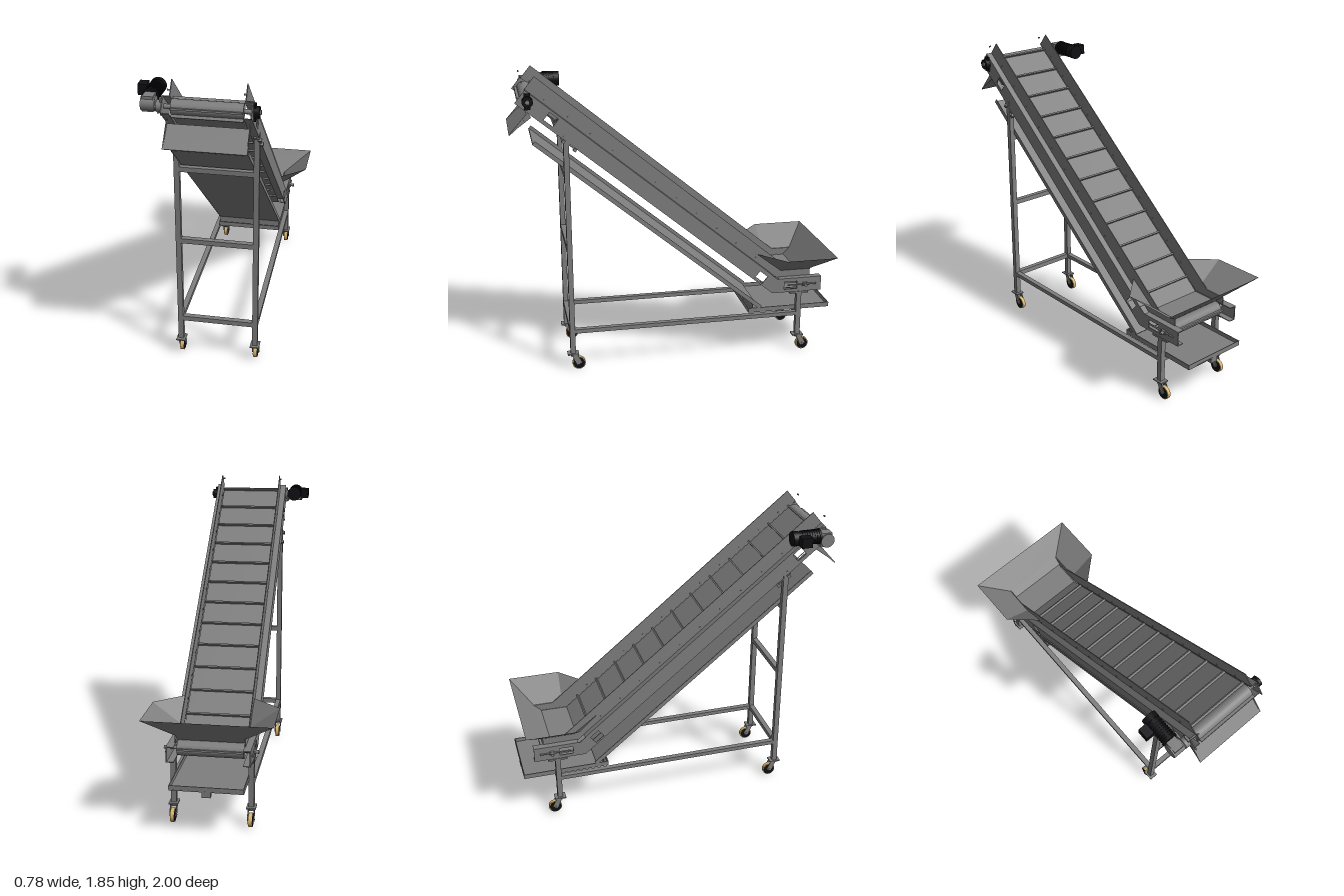
import * as THREE from 'three';

const CX = 0.0175; // centre line of the frame
const grey = new THREE.MeshStandardMaterial({ color: 0x7f7f7f });
const sheet = new THREE.MeshStandardMaterial({ color: 0x7f7f7f, side: THREE.DoubleSide });
const black = new THREE.MeshStandardMaterial({ color: 0x101014 });
const tan = new THREE.MeshStandardMaterial({ color: 0xd9b56e });

// Slope axes in (z, y): u runs up the incline, n points out of the belt
const ANG = Math.atan(0.825);
const u = [Math.cos(ANG), Math.sin(ANG)], n = [-u[1], u[0]];
const HEAD = [0.887, 1.71], TAIL = [-0.82, 0.46];
const onSlope = (s, h) => [HEAD[0] + s * u[0] + h * n[0], HEAD[1] + s * u[1] + h * n[1]];
const atHeight = (h, y) => onSlope((y - HEAD[1] - h * n[1]) / u[1], h);
const atZ = (h, z) => onSlope((z - HEAD[0] - h * n[0]) / u[0], h);

export function createModel() {
  const model = new THREE.Group();

  const add = (name, geo, mat = grey, parent = model) => {
    const m = new THREE.Mesh(geo, mat);
    m.name = name;
    parent.add(m);
    return m;
  };
  const box = (name, w, h, d, x, y, z, mat, parent) => {
    const m = add(name, new THREE.BoxGeometry(w, h, d), mat, parent);
    m.position.set(x, y, z);
    return m;
  };
  // Box whose depth runs along the incline
  const slopeBox = (name, w, h, d, x, [z, y], mat) => {
    const m = box(name, w, h, d, x, y, z, mat);
    m.rotation.x = -ANG;
    return m;
  };
  const cyl = (name, r, len, axis, x, y, z, mat, seg = 28, parent = model) => {
    const g = new THREE.CylinderGeometry(r, r, len, seg);
    if (axis === 'x') g.rotateZ(Math.PI / 2);
    if (axis === 'z') g.rotateX(Math.PI / 2);
    const m = add(name, g, mat, parent);
    m.position.set(x, y, z);
    return m;
  };
  const toPath = (pts, C = THREE.Path) => new C(pts.map(p => new THREE.Vector2(...p)));
  // Outline in (z, y), extruded across x and centred on x
  const profile = (name, pts, width, x, holes = []) => {
    const s = toPath(pts, THREE.Shape);
    s.holes = holes.map(h => toPath(h));
    const g = new THREE.ExtrudeGeometry(s, { depth: width, bevelEnabled: false });
    g.translate(0, 0, -width / 2).rotateY(-Math.PI / 2);
    add(name, g).position.x = x;
  };

  // Belt loop around the head and tail rollers
  const R = 0.04;
  const beltLoop = r => {
    const pts = [];
    for (let i = 0; i <= 14; i++) {
      const a = Math.PI / 2 - Math.PI * i / 14;
      pts.push(onSlope(r * Math.cos(a), r * Math.sin(a)));
    }
    pts.push(atHeight(-r, TAIL[1] - r));
    for (let i = 0; i <= 14; i++) {
      const a = -Math.PI / 2 - Math.PI * i / 14;
      pts.push([TAIL[0] + r * Math.cos(a), TAIL[1] + r * Math.sin(a)]);
    }
    pts.push(atHeight(r, TAIL[1] + r));
    return pts;
  };
  profile('belt', beltLoop(R + 0.003), 0.384, CX, [beltLoop(R - 0.003)]);
  for (let i = 0; i < 12; i++) {
    const z = -0.565 + i * 0.1286;
    slopeBox('beltCleat', 0.384, 0.018, 0.01, CX, atZ(R + 0.01, z));
    if (i > 0 && i < 11) slopeBox('returnCleat', 0.384, 0.012, 0.01, CX, atZ(-R - 0.006, z));
  }
  // Cleats passing round the two rollers
  for (const [c, a] of [[HEAD, 0.15], [HEAD, -0.95], [TAIL, 3.0]]) {
    const m = box('rollerCleat', 0.384, 0.01, 0.018, CX, c[1] + 0.05 * Math.sin(a), c[0] + 0.05 * Math.cos(a));
    m.rotation.x = -a;
  }
  cyl('headRoller', R - 0.004, 0.38, 'x', CX, HEAD[1], HEAD[0]);
  cyl('headShaft', 0.013, 0.56, 'x', CX, HEAD[1], HEAD[0]);
  cyl('tailRoller', R - 0.004, 0.38, 'x', CX, TAIL[1], TAIL[0]);
  cyl('tailShaft', 0.01, 0.49, 'x', CX, TAIL[1], TAIL[0]);

  // Side channels with inspection windows, and thin guards above them
  const E = 0.05, LOW = -0.052, TOP = 0.134;
  const channel = [[-0.93, 0.41], atHeight(LOW, 0.41), onSlope(E, LOW), onSlope(E, R), atHeight(R, 0.503), [-0.93, 0.503]];
  const slopeWindow = ([z, y], a = 0.033, b = 0.028) => [[-a, -b], [a, -b], [a, b], [-a, b]]
    .map(([s, h]) => [z + s * u[0] + h * n[0], y + s * u[1] + h * n[1]]);
  const windows = [
    slopeWindow([0.755, 1.6]), slopeWindow([-0.53, 0.525]),
    [[-0.77, 0.43], [-0.685, 0.43], [-0.685, 0.48], [-0.77, 0.48]],
  ];
  const guard = [[-0.865, 0.5], atHeight(R, 0.5), onSlope(E, R), onSlope(E, TOP), atHeight(TOP, 0.547), [-0.865, 0.547]];
  const kneeS = (0.5 - HEAD[1]) / u[1], runLen = E - kneeS, mid = (E + kneeS) / 2;
  for (const s of [-1, 1]) {
    const bearingMat = s > 0 ? black : grey;
    profile('sideChannel', channel, 0.006, CX + s * 0.237, windows);
    profile('sideGuard', guard, 0.005, CX + s * 0.2);
    slopeBox('channelTopFlange', 0.044, 0.005, runLen, CX + s * 0.218, onSlope(mid, R));
    slopeBox('channelBottomFlange', 0.044, 0.005, runLen - 0.1, CX + s * 0.218, onSlope(mid + 0.03, LOW + 0.003));
    box('tailTopFlange', 0.044, 0.005, 0.28, CX + s * 0.218, 0.501, -0.79);
    box('tailBottomFlange', 0.044, 0.005, 0.31, CX + s * 0.218, 0.413, -0.775);
    for (let i = 0; i < 12; i++) {
      const [z, y] = atZ(R + 0.022, -0.5 + i * 0.1286);
      cyl('guardBolt', 0.005, 0.012, 'x', CX + s * 0.2, y, z, grey, 8);
    }
    // Belt tensioner
    cyl('tensionScrew', 0.005, 0.19, 'z', CX + s * 0.246, TAIL[1], -0.8, grey, 10);
    box('tensionBlock', 0.016, 0.022, 0.03, CX + s * 0.246, TAIL[1], TAIL[0]);
    cyl('tensionKnob', 0.01, 0.02, 'x', CX + s * 0.263, TAIL[1], TAIL[0], grey, 12);
    // Head bearing
    box('bearingFlange', 0.012, 0.095, 0.036, CX + s * 0.246, HEAD[1], HEAD[0], bearingMat);
    cyl('bearingHousing', 0.032, 0.03, 'x', CX + s * 0.257, HEAD[1], HEAD[0], bearingMat, 20);
  }

  // Wheeled frame
  const FZ = 0.675, RZ = -0.785, T = 0.032;
  for (const s of [-1, 1]) {
    const x = CX + s * 0.227;
    box('frontLeg', T, 1.39, T, x, 0.805, FZ);
    box('rearLeg', T, 0.3, T, x, 0.26, RZ);
    box('rearLegPlate', 0.034, 0.012, 0.12, x, 0.403, RZ);
    box('bottomRail', T, 0.026, FZ - RZ, x, 0.258, (FZ + RZ) / 2);
    slopeBox('legBracket', 0.034, 0.008, 0.11, x, atZ(LOW - 0.004, 0.66));
    for (const z of [0.69, 0.625]) slopeBox('bracketBolt', 0.02, 0.02, 0.018, CX + s * 0.245, atZ(LOW - 0.008, z));
    for (const [z, wz] of [[FZ, 0.64], [RZ, -0.82]]) {
      const caster = new THREE.Group();
      caster.name = 'caster';
      model.add(caster);
      box('casterPlate', 0.055, 0.008, 0.07, x, 0.108, z, grey, caster);
      cyl('casterSwivel', 0.02, 0.016, 'y', x, 0.098, z - 0.004, grey, 20, caster);
      for (const k of [-1, 1]) {
        const arm = box('casterFork', 0.004, 0.066, 0.032, x + k * 0.018, 0.07, (z + wz) / 2 - 0.006, grey, caster);
        arm.rotation.x = 0.45;
      }
      cyl('wheelTyre', 0.041, 0.022, 'x', x, 0.041, wz, tan, 32, caster);
      cyl('wheelDisc', 0.036, 0.026, 'x', x, 0.041, wz, black, 32, caster);
      cyl('wheelAxle', 0.008, 0.044, 'x', x, 0.041, wz, grey, 12, caster);
    }
  }
  for (const y of [0.258, 0.795, 1.255]) box('frontCrossbar', 0.43, 0.03, T, CX, y, FZ);
  box('rearCrossbar', 0.43, 0.026, T, CX, 0.258, RZ);

  // Sloping spill pan below the belt, draining into a flat tray
  const a = [0.86, 1.46], b = [-0.54, 0.305];
  const panLen = Math.hypot(a[0] - b[0], a[1] - b[1]), panAng = Math.atan2(a[1] - b[1], a[0] - b[0]);
  const pan = new THREE.Group();
  pan.name = 'spillPan';
  pan.position.set(CX, (a[1] + b[1]) / 2, (a[0] + b[0]) / 2);
  pan.rotation.x = -panAng;
  model.add(pan);
  box('panFloor', 0.42, 0.005, panLen, 0, -0.01, 0, grey, pan);
  for (const s of [-1, 1]) {
    box('panLip', 0.005, 0.026, panLen, s * 0.21, 0, 0, grey, pan);
    box('trayLip', 0.005, 0.03, 0.54, CX + s * 0.21, 0.29, -0.73);
  }
  box('trayFloor', 0.42, 0.005, 0.54, CX, 0.278, -0.73);
  box('trayFrontLip', 0.42, 0.03, 0.005, CX, 0.29, -0.462);
  box('panEndPlate', 0.42, 0.058, 0.005, CX, 0.306, -0.488);
  box('trayRearLip', 0.42, 0.03, 0.005, CX, 0.29, -0.997);
  box('trayHandle', 0.05, 0.035, 0.028, CX, 0.26, -0.984);

  // Hopper of folded sheet, open toward the incline
  const quads = [];
  const quad = (p, q, r, s) => quads.push(...p, ...q, ...r, ...p, ...r, ...s);
  const side = s => ({
    rimBack: [CX + s * 0.372, 0.67, -0.985], rimFront: [CX + s * 0.372, 0.67, -0.66],
    tip: [CX + s * 0.205, 0.67, -0.51], footFront: [CX + s * 0.2, 0.545, -0.67], footBack: [CX + s * 0.2, 0.545, -0.855],
    low: [CX + s * 0.198, 0.505, -0.812],
  });
  const L = side(1), Rt = side(-1);
  for (const p of [L, Rt]) {
    quad(p.rimBack, p.rimFront, p.footFront, p.footBack);
    quads.push(...p.rimFront, ...p.tip, ...p.footFront);
  }
  quad(L.rimBack, Rt.rimBack, Rt.footBack, L.footBack);
  quad(L.footBack, Rt.footBack, Rt.low, L.low);
  const hopper = new THREE.BufferGeometry();
  hopper.setAttribute('position', new THREE.Float32BufferAttribute(quads, 3));
  hopper.computeVertexNormals();
  add('hopper', hopper, sheet);

  // Discharge chute with side cheeks
  profile('chutePlate', [[1.0, 1.515], [0.89, 1.615], [0.886, 1.611], [0.996, 1.511]], 0.45, CX);
  for (const s of [-1, 1])
    profile('chuteCheek', [[1.0, 1.515], [0.885, 1.645], [0.868, 1.612]], 0.005, CX + s * 0.222);

  // Gear motor beside the head roller
  const MX = -0.3, MY = 1.74;
  box('gearbox', 0.06, 0.085, 0.07, MX, 1.722, 0.87);
  cyl('gearboxFace', 0.042, 0.076, 'x', MX, 1.718, 0.876, grey, 24);
  cyl('gearboxOutput', 0.024, 0.06, 'x', -0.25, HEAD[1], HEAD[0], grey, 20);
  cyl('motorFlange', 0.046, 0.012, 'z', MX, MY, 0.828, black);
  cyl('motorBody', 0.04, 0.15, 'z', MX, MY, 0.747, black);
  for (let i = 0; i < 7; i++) cyl('motorFin', 0.044, 0.006, 'z', MX, MY, 0.72 + i * 0.015, black);
  cyl('motorFanCover', 0.045, 0.035, 'z', MX, MY, 0.678, black);
  box('terminalBox', 0.05, 0.062, 0.066, -0.368, MY + 0.002, 0.722, black);
  box('torqueArm', 0.012, 0.03, 0.1, -0.243, 1.69, 0.86);

  return model;
}
